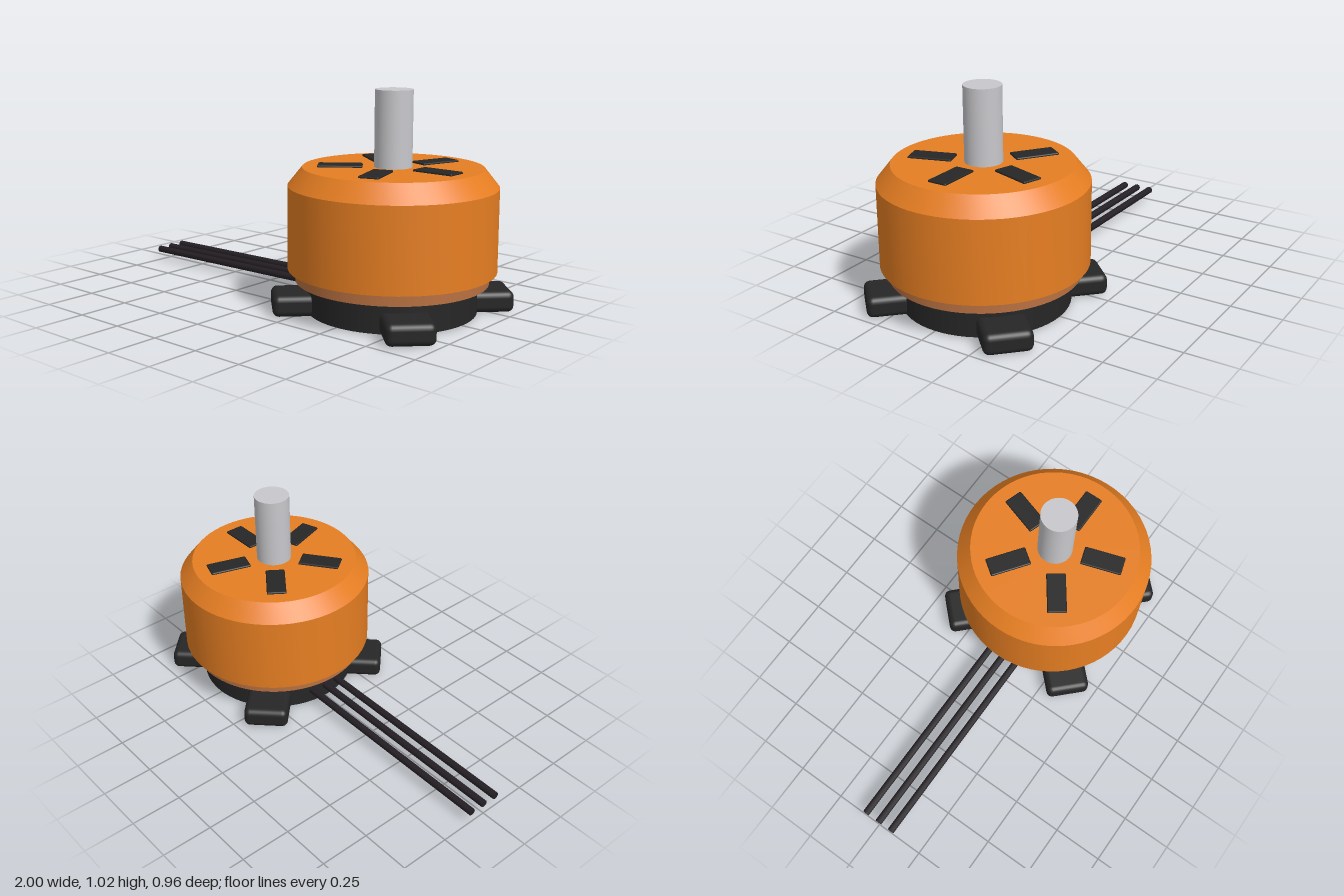
import * as THREE from 'three';
import { toCreasedNormals } from 'three/addons/utils/BufferGeometryUtils.js';
import { RoundedBoxGeometry } from 'three/addons/geometries/RoundedBoxGeometry.js';

const material = (name, color) => {
  const m = new THREE.MeshStandardMaterial({ color });
  m.name = name;
  return m;
};

export function createModel() {
  const orange = material('orange', 0xe67e22);
  const copper = material('copper', 0xb87040);
  const steel = material('steel', 0xc8c8cc);
  const black = material('black', 0x262626);
  const wireBlack = material('wireBlack', 0x241f24);

  const model = new THREE.Group();
  model.name = 'outrunnerMotor';
  const motor = new THREE.Group();
  motor.name = 'motor';
  motor.position.x = 0.515;
  model.add(motor);

  const add = (parent, name, geometry, mat, x = 0, y = 0, z = 0) => {
    const mesh = new THREE.Mesh(geometry, mat);
    mesh.name = name;
    mesh.position.set(x, y, z);
    parent.add(mesh);
    return mesh;
  };
  const cylinder = (name, radius, y0, y1, mat) =>
    add(motor, name, new THREE.CylinderGeometry(radius, radius, y1 - y0, 64), mat, 0, (y0 + y1) / 2);

  // Base, stator and shaft
  cylinder('base', 0.395, 0.004, 0.15, black);
  cylinder('stator', 0.447, 0.145, 0.3, copper);
  cylinder('shaft', 0.087, 0.6, 1.025, steel);

  // Rotating bell: hollow below, chamfered on top
  const profile = [[0.455, 0.3], [0.455, 0.2], [0.482, 0.2], [0.482, 0.588], [0.415, 0.672], [0, 0.672]]
    .map(([r, y]) => new THREE.Vector2(r, y));
  add(motor, 'bell', toCreasedNormals(new THREE.LatheGeometry(profile, 64), 0.5), orange);

  // Five radial vents on the bell top
  const vent = new RoundedBoxGeometry(0.205, 0.018, 0.095, 2, 0.006);
  for (let i = 0; i < 5; i++) {
    const a = (i * Math.PI * 2) / 5;
    add(motor, 'vent', vent, black, 0.242 * Math.cos(a), 0.672, -0.242 * Math.sin(a)).rotation.y = a;
  }

  // Four mounting feet on the diagonals
  const foot = new RoundedBoxGeometry(0.21, 0.1, 0.22, 3, 0.03);
  for (let i = 0; i < 4; i++) {
    const a = Math.PI / 4 + (i * Math.PI) / 2;
    add(motor, 'foot', foot, black, 0.452 * Math.cos(a), 0.05, -0.452 * Math.sin(a)).rotation.y = a;
  }

  // Three lead wires leaving the base
  const wireLength = 1.2;
  const wire = new THREE.CylinderGeometry(0.018, 0.018, wireLength, 8);
  wire.rotateZ(Math.PI / 2);
  for (const z of [-0.079, 0, 0.077]) {
    add(model, 'wire', wire, wireBlack, -1 + wireLength / 2, 0.066, z).rotation.z = 0.012;
  }
  return model;
}
